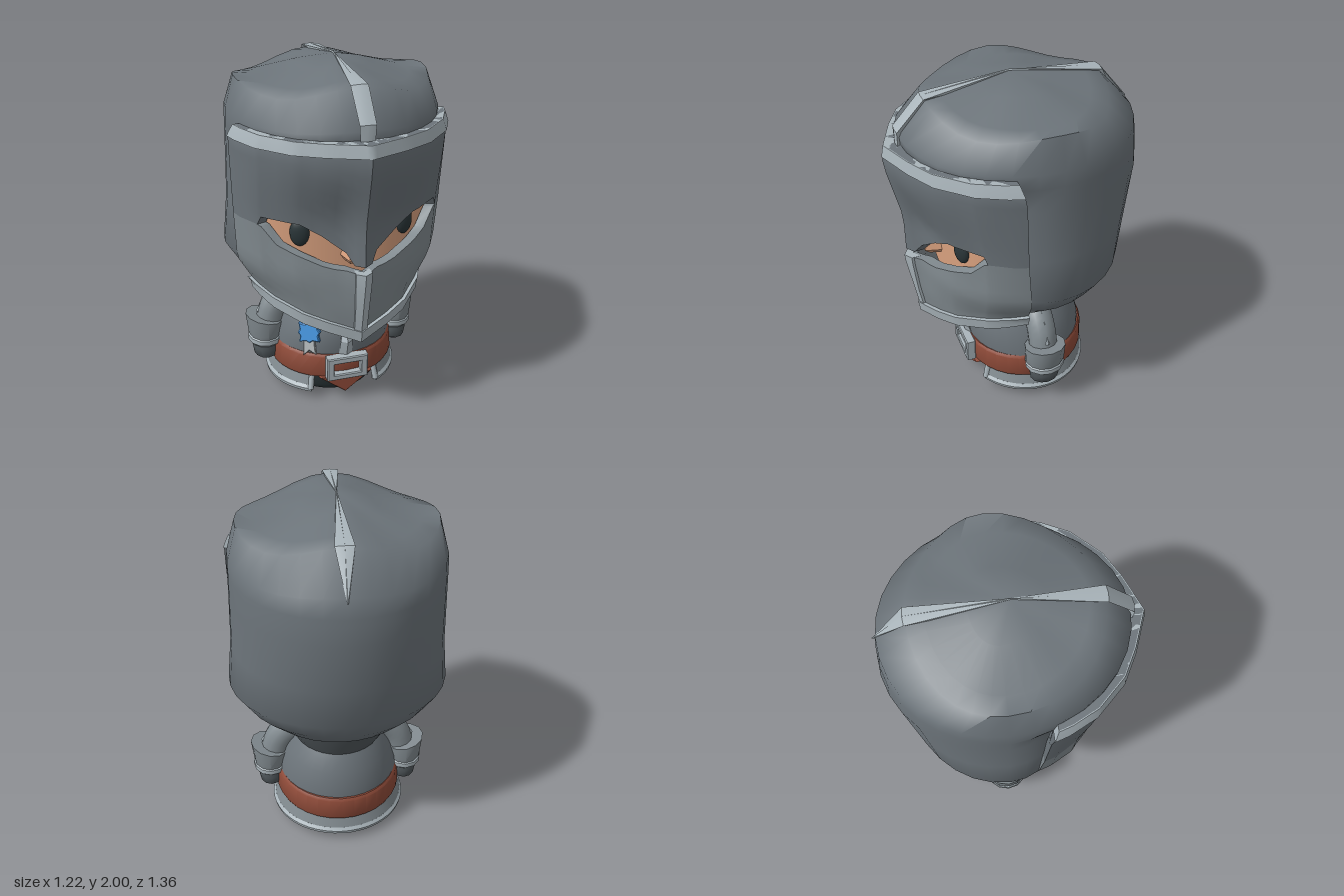
import * as THREE from 'three';
import { toCreasedNormals } from 'three/addons/utils/BufferGeometryUtils.js';

const STEEL = 0x6c747a, PLATE = 0x818a8f, TRIM = 0xaab5bb, LEATHER = 0x8f4b39;
const SKIN = 0xd8a07e, DARK = 0x2a3538, GLOVE = 0x50575b, BLUE = 0x4a9ce8;

const V = (x, y, z) => new THREE.Vector3(x, y, z);

function part(group, name, geometry, color, crease = 0.6) {
  const geo = crease ? toCreasedNormals(geometry, crease) : geometry;
  const mesh = new THREE.Mesh(geo, new THREE.MeshStandardMaterial({ color }));
  mesh.name = name;
  group.add(mesh);
  return mesh;
}

// piecewise linear lookup in [key, value] pairs with rising keys
function look(table, k) {
  if (k <= table[0][0]) return table[0][1];
  for (let i = 1; i < table.length; i++) {
    const [a, va] = table[i - 1], [b, vb] = table[i];
    if (k <= b) return va + (vb - va) * (k - a) / (b - a);
  }
  return table[table.length - 1][1];
}

// skin closed cross-sections and cap both ends
function loft(rings) {
  const pos = [], n = rings[0].length;
  const tri = (...pts) => pts.forEach(p => pos.push(p.x, p.y, p.z));
  for (let i = 0; i < rings.length - 1; i++) {
    for (let j = 0; j < n; j++) {
      const k = (j + 1) % n, r = rings[i], s = rings[i + 1];
      tri(r[j], r[k], s[k]);
      tri(r[j], s[k], s[j]);
    }
  }
  [rings[0], rings[rings.length - 1]].forEach((r, end) => {
    const c = r.reduce((m, p) => m.add(p), V(0, 0, 0)).divideScalar(n);
    for (let j = 0; j < n; j++) {
      const k = (j + 1) % n;
      end ? tri(c, r[j], r[k]) : tri(c, r[k], r[j]);
    }
  });
  const geo = new THREE.BufferGeometry();
  geo.setAttribute('position', new THREE.Float32BufferAttribute(pos, 3));
  return geo;
}

// egg-shaped horizontal ring; fb and side lift front/back and sides into ridges
function ring(y, rx, zf, zb, { c = -0.07, n = 32, tilt = 0, fb = 0, side = 0 } = {}) {
  return Array.from({ length: n }, (_, i) => {
    const a = i / n * Math.PI * 2, s = Math.sin(a), q = Math.cos(a);
    const z = c + q * (q > 0 ? zf - c : c - zb);
    const lift = Math.cos(2 * a) ** 2 * (Math.abs(q) > Math.abs(s) ? fb : side);
    return V(rx * s, y + lift - tilt * z, z);
  });
}

// visor surface: t runs -1..1 across the face, y is height; the section sharpens at the eyes
const SECTION = [[0, 1], [0.34, 0.85], [0.59, 0.7], [0.84, 0.41], [0.96, 0.14], [1, 0]];
const EYE_SECTION = [[0, 1], [0.08, 0.93], [0.14, 0.86], [0.34, 0.77], [0.55, 0.67], [0.84, 0.38], [0.96, 0.14], [1, 0]];
const EYE_BLEND = [[0.75, 0], [0.98, 0.8], [1.05, 1], [1.25, 1], [1.5, 0]];
const WIDTH = [[0.57, 0.45], [0.75, 0.475], [0.92, 0.57], [1.2, 0.582], [1.64, 0.593], [1.7, 0.562]];
const FRONT = [[0.57, 0.53], [0.97, 0.6], [1.25, 0.6], [1.6, 0.68], [1.7, 0.66]];
const BACK = [[0.75, 0.07], [1.2, 0.11], [1.6, 0.13], [1.7, 0.16]];
function visorPoint(t, y, out) {
  const zb = look(BACK, y), zf = look(FRONT, y), m = Math.abs(t), w = look(EYE_BLEND, y);
  const z = zb + (zf - zb) * (look(SECTION, m) * (1 - w) + look(EYE_SECTION, m) * w);
  return V((look(WIDTH, y) + out) * t, y, z + out * (1 - t * t));
}
const HALF = [0.04, 0.08, 0.14, 0.24, 0.34, 0.42, 0.52, 0.59, 0.7, 0.81, 0.84, 0.9, 0.96, 1];
const COLS = [...HALF.map(t => -t).reverse(), 0, ...HALF];
function visorPanel(top, bottom, out, thick, cols = COLS, rows = 8) {
  return loft(cols.map(t => {
    const a = look(top, Math.abs(t)), b = look(bottom, Math.abs(t)), outer = [], inner = [];
    for (let i = 0; i <= rows; i++) {
      const y = a + (b - a) * i / rows;
      outer.push(visorPoint(t, y, out));
      inner.unshift(visorPoint(t, y, out - thick));
    }
    return [...outer, ...inner];
  }));
}

// profile of [scale, y], listed outer top to bottom then inner upward, swept round the hips
function hipSweep(profile, gap) {
  return loft(Array.from({ length: 41 }, (_, i) => {
    const a = gap + (Math.PI * 2 - 2 * gap) * i / 40;
    return profile.map(([s, y]) => V(0.39 * s * Math.sin(a), y, -0.09 + 0.37 * s * Math.cos(a)));
  }));
}

function plate(points, depth, holePoints, bevel = 0.006) {
  const vec = list => list.map(([x, y]) => new THREE.Vector2(x, y));
  const shape = new THREE.Shape(vec(points));
  if (holePoints) shape.holes.push(new THREE.Path(vec(holePoints)));
  return new THREE.ExtrudeGeometry(shape, { depth, bevelSize: bevel, bevelThickness: bevel, bevelSegments: 1 });
}
const rect = (w, y0, y1) => [[-w, y0], [w, y0], [w, y1], [-w, y1]];

function buildHead(g) {
  // helmet bowl, pulled in behind the face below the brow
  part(g, 'helmet', loft([
    ring(0.68, 0.36, 0.25, -0.42, { tilt: 0.12 }),
    ring(0.72, 0.42, 0.28, -0.475, { tilt: 0.08 }),
    ring(0.82, 0.53, 0.33, -0.54, { tilt: 0.04 }),
    ring(0.95, 0.612, 0.36, -0.6),
    ring(1.2, 0.585, 0.39, -0.64),
    ring(1.5, 0.575, 0.4, -0.68),
    ring(1.6, 0.573, 0.42, -0.67),
    ring(1.64, 0.572, 0.58, -0.667),
    ring(1.72, 0.568, 0.59, -0.652, { fb: 0.025 }),
    ring(1.85, 0.52, 0.45, -0.49, { fb: 0.07, side: 0.04 }),
    ring(1.88, 0.42, 0.37, -0.4, { fb: 0.055, side: -0.005 }),
    ring(1.94, 0.2, 0.18, -0.2, { fb: 0.022, side: -0.003 }),
    ring(1.99, 0.002, 0.002, -0.002, { c: 0 })
  ]), STEEL, 1.3);

  // crest strips running forward and back from the crown
  for (const [name, dir, path] of [
    ['frontCrest', 1, [[0, 1.998, 0.003], [0.46, 1.937, 0.045], [0.605, 1.78, 0.042], [0.605, 1.66, 0.035]]],
    ['backCrest', -1, [[0, 1.998, 0.003], [0.5, 1.937, 0.048], [0.672, 1.73, 0.003]]]
  ]) {
    const rings = path.map(([z, y, w]) => {
      const n = V(0, y - 1.5, z * dir).normalize(), p = V(0, y, z * dir);
      const at = (x, d) => p.clone().addScaledVector(n, d).add(V(x, 0, 0));
      return [at(0, 0), at(-w * dir, -0.006), at(0, -0.06), at(w * dir, -0.006)];
    });
    part(g, name, loft(rings), TRIM, 0.3);
  }

  // face
  part(g, 'face', loft([0.9, 1.0, 1.2, 1.4].map(y => ring(y, 0.505, 0.425, 0, { c: 0.1 }))), SKIN);
  part(g, 'nose', loft([[1.0, 0.075, 0.48], [1.03, 0.095, 0.51], [1.2, 0.04, 0.43]].map(([y, w, z]) =>
    [V(-w * 0.6, y, z), V(w * 0.6, y, z), V(w, y, 0.36), V(-w, y, 0.36)])), SKIN, 0.4);
  for (const s of [1, -1]) {
    const eye = part(g, s > 0 ? 'leftEye' : 'rightEye', new THREE.SphereGeometry(1, 20, 14), DARK, 0);
    eye.scale.set(0.052, 0.075, 0.028);
    eye.position.set(0.285 * s, 1.16, 0.37);
    eye.rotation.y = 0.42 * s;
  }

  // visor, chin guard and their trims
  const browTop = [[0, 1.7], [1, 1.7]];
  const browEdge = [[0, 1.03], [0.08, 1.03], [0.14, 1.09], [0.34, 1.18], [0.52, 1.24], [0.81, 1.245], [0.84, 1.2]];
  const jawTop = [[0, 0.985], [0.3, 1.0], [0.42, 1.03], [0.7, 1.1], [0.81, 1.19], [0.84, 1.2]];
  const jawEdge = [[0, 0.57], [0.5, 0.64], [0.9, 0.7], [1, 0.73]];
  const raise = (table, d) => table.map(([t, y]) => [t, y + d]);
  part(g, 'visor', visorPanel(browTop, browEdge, 0, 0.06), STEEL);
  part(g, 'chinGuard', visorPanel(jawTop, jawEdge, 0, 0.06), PLATE);
  part(g, 'visorTrim', visorPanel(browTop, raise(browTop, -0.065), 0.006, 0.075, COLS, 2), TRIM, 1);
  part(g, 'chinTrim', visorPanel(raise(jawEdge, 0.055), raise(jawEdge, -0.012), 0.022, 0.08, COLS, 2), TRIM);
  part(g, 'chinRidge', visorPanel([[0, 0.99]], [[0, 0.6]], 0.014, 0.05, [-0.075, 0, 0.075]), TRIM, 0.3);

  // rim around the neck opening
  const rim = ring(0.685, 0.365, 0.26, -0.42, { tilt: 0.12 });
  part(g, 'neckRim', new THREE.TubeGeometry(new THREE.CatmullRomCurve3(rim, true), 48, 0.02, 6, true), TRIM, 0);
}

function buildBody(g) {
  part(g, 'collar', loft([
    ring(0.56, 0.26, 0.2, -0.35), ring(0.64, 0.31, 0.24, -0.385), ring(0.74, 0.345, 0.25, -0.42)
  ]), GLOVE);
  part(g, 'breastplate', loft([
    ring(0.28, 0.355, 0.26, -0.43), ring(0.36, 0.345, 0.27, -0.425), ring(0.46, 0.31, 0.265, -0.4),
    ring(0.54, 0.27, 0.235, -0.365), ring(0.6, 0.23, 0.19, -0.33)
  ]), STEEL);
  part(g, 'breastRidge', loft([[0.3, 0.04, 0.285], [0.4, 0.035, 0.31], [0.55, 0.003, 0.24]].map(([y, w, z]) =>
    [V(-w, y, z - 0.025), V(0, y, z), V(w, y, z - 0.025), V(0, y, z - 0.08)])), TRIM, 0.3);

  // belt, buckle and hanging cloth
  part(g, 'belt', loft([
    ring(0.155, 0.365, 0.275, -0.445), ring(0.17, 0.372, 0.28, -0.452),
    ring(0.29, 0.362, 0.28, -0.45), ring(0.305, 0.35, 0.27, -0.44)
  ]), LEATHER);
  part(g, 'buckle', plate(rect(0.115, 0.165, 0.3), 0.045, rect(0.085, 0.19, 0.272)), TRIM, 0.3).position.z = 0.265;
  part(g, 'cloth', plate([[-0.15, 0.16], [0, 0.045], [0.15, 0.16]], 0.05), LEATHER, 0.3).position.z = 0.215;

  // flared skirt, open in front, with its hem and turned edges
  part(g, 'skirt', hipSweep([[0.9, 0.18], [1, 0.07], [0.94, 0.07], [0.82, 0.18]], 0.55), PLATE);
  part(g, 'skirtHem', hipSweep([[0.985, 0.088], [1.02, 0.07], [1.01, 0.05], [0.92, 0.052], [0.92, 0.08]], 0.53), TRIM);
  for (const s of [1, -1]) {
    const edge = new THREE.LineCurve3(V(0.2 * s, 0.065, 0.225), V(0.185 * s, 0.17, 0.2));
    part(g, 'skirtEdge', new THREE.TubeGeometry(edge, 1, 0.018, 6), TRIM, 0);
  }
  part(g, 'legs', loft([
    ring(0, 0.25, 0.17, -0.33), ring(0.05, 0.29, 0.205, -0.36), ring(0.17, 0.3, 0.21, -0.37)
  ]), DARK, 1);

  // chest badge with ribbon
  const badge = new THREE.Group();
  badge.name = 'badge';
  badge.position.set(-0.195, 0.45, 0.2);
  badge.rotation.set(-0.15, -0.45, 0);
  const star = Array.from({ length: 16 }, (_, i) => {
    const a = i / 16 * Math.PI * 2 + Math.PI / 4, r = i % 4 === 0 ? 0.075 : i % 2 ? 0.05 : 0.058;
    return [r * Math.cos(a), r * Math.sin(a)];
  });
  part(badge, 'badgeFlower', plate(star, 0.025), BLUE, 0.3);
  part(badge, 'badgeRibbon', plate(
    [[-0.03, 0], [-0.038, -0.14], [-0.005, -0.11], [0.028, -0.135], [0.02, 0]], 0.015), 0xb9bfc2, 0.3);
  g.add(badge);
}

function buildArm(side) {
  const arm = new THREE.Group();
  arm.name = side > 0 ? 'leftArm' : 'rightArm';
  const x = k => k * side;
  const path = new THREE.CatmullRomCurve3([
    V(x(0.2), 0.6, -0.07), V(x(0.28), 0.57, -0.07), V(x(0.345), 0.5, -0.07), V(x(0.385), 0.38, -0.07)]);
  part(arm, 'sleeve', new THREE.TubeGeometry(path, 10, 0.083, 12), PLATE, 0);
  // tapering ridge on the outside of the sleeve
  part(arm, 'sleeveRidge', loft([[0.45, 0.46, 0.028], [0.385, 0.57, 0.022], [0.29, 0.66, 0.004]].map(([px, y, w]) =>
    Array.from({ length: 4 }, (_, i) => {
      const a = i * Math.PI / 2;
      return V(x(px - 0.02) + 0.025 * Math.sin(a), y + 0.012 * side * Math.sin(a), -0.07 + w * Math.cos(a));
    }))), TRIM, 0.3);

  // gauntlet flares up on the outside
  const cuff = (y, rx, rz, slope = 0) => Array.from({ length: 12 }, (_, i) => {
    const a = i / 12 * Math.PI * 2, c = Math.sin(a);
    return V(x(0.405) + rx * c, y + slope * side * c, -0.07 + rz * Math.cos(a));
  });
  part(arm, 'gauntlet', loft([cuff(0.28, 0.085, 0.1), cuff(0.34, 0.1, 0.117), cuff(0.435, 0.113, 0.12, 0.025)]), PLATE);
  part(arm, 'gauntletTrim', loft([
    cuff(0.265, 0.085, 0.095), cuff(0.285, 0.103, 0.116), cuff(0.315, 0.103, 0.118), cuff(0.33, 0.09, 0.1)]), TRIM);
  part(arm, 'hand', loft([
    cuff(0.167, 0.045, 0.06), cuff(0.185, 0.07, 0.085), cuff(0.235, 0.078, 0.092), cuff(0.29, 0.07, 0.085)]), GLOVE, 0.9);
  return arm;
}

export function createModel() {
  const model = new THREE.Group();
  model.name = 'knight';
  for (const [name, build] of [['head', buildHead], ['body', buildBody]]) {
    const g = new THREE.Group();
    g.name = name;
    build(g);
    model.add(g);
  }
  model.add(buildArm(1), buildArm(-1));
  return model;
}
